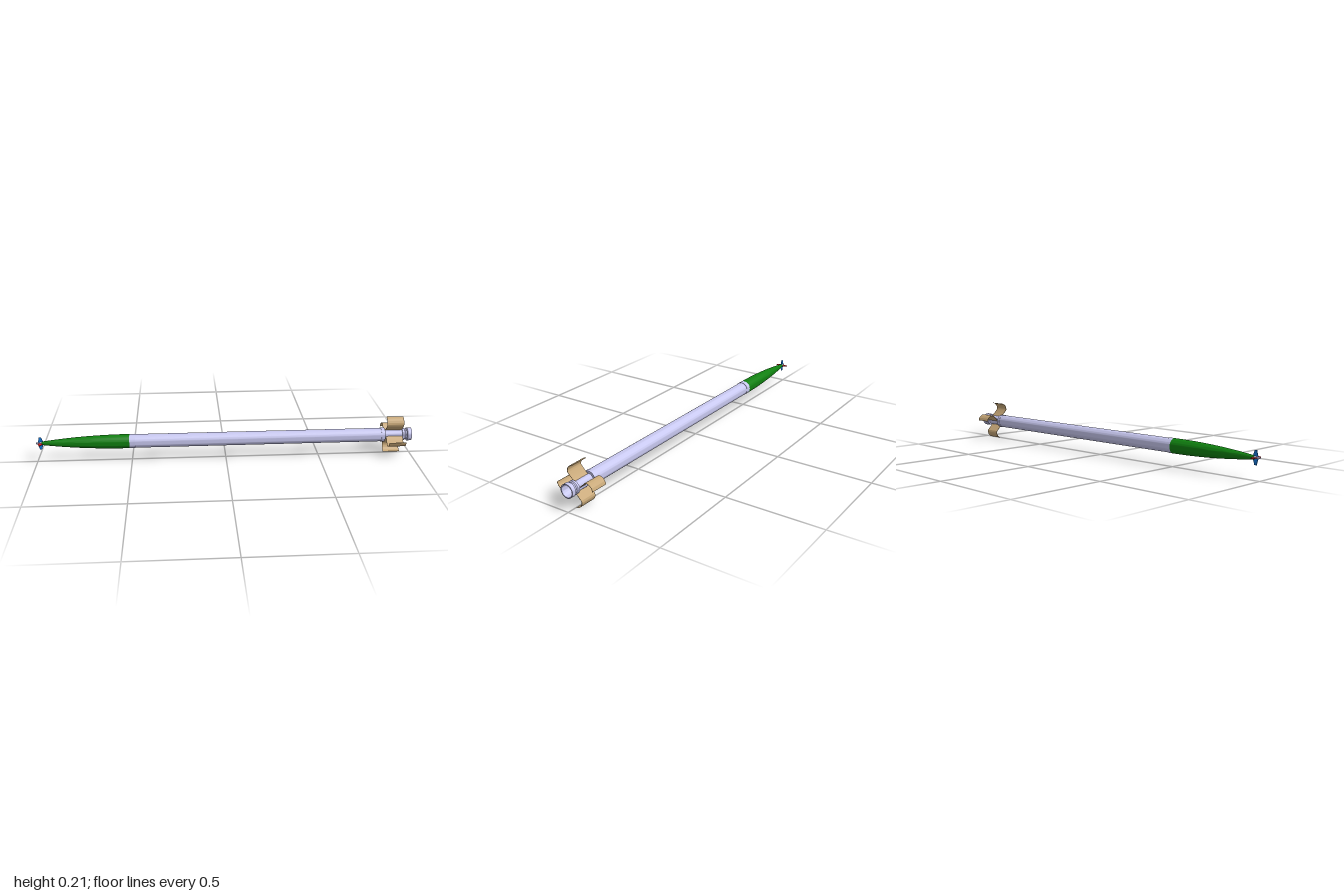
import * as THREE from 'three';
import { toCreasedNormals } from 'three/addons/utils/BufferGeometryUtils.js';

const mat = (color) => new THREE.MeshStandardMaterial({ color });
const LILAC = mat(0xc8c8f0), GREEN = mat(0x108010), TAN = mat(0xc8a878), BLUE = mat(0x1478dc), RED = mat(0xd02020);

// Solid of revolution about the x axis from [x, radius] pairs
function turned(name, profile, material) {
  const g = new THREE.LatheGeometry(profile.map(([x, r]) => new THREE.Vector2(r, x)), 48);
  g.rotateZ(-Math.PI / 2);
  const mesh = new THREE.Mesh(toCreasedNormals(g, 0.5), material);
  mesh.name = name;
  return mesh;
}

// Curved tail fin: straight root, rounded bend, then a quarter arc
function tailFinGeometry() {
  const path = new THREE.Path();
  path.moveTo(0, 0.025);
  path.lineTo(-0.034, 0.06);
  path.quadraticCurveTo(-0.037, 0.063, -0.037, 0.068);
  path.absarc(-0.001, 0.068, 0.036, Math.PI, Math.PI * 0.53, true);
  const pts = path.getPoints(14);
  const t = 0.0008;
  const side = (s) => pts.map((p, i) => {
    const a = pts[Math.max(i - 1, 0)], b = pts[Math.min(i + 1, pts.length - 1)];
    const d = b.clone().sub(a).normalize();
    return new THREE.Vector2(p.x - d.y * t * s, p.y + d.x * t * s);
  });
  const shape = new THREE.Shape([...side(1), ...side(-1).reverse()]);
  const g = new THREE.ExtrudeGeometry(shape, { depth: 0.09, bevelEnabled: false });
  g.rotateY(Math.PI / 2);
  return toCreasedNormals(g, 0.6);
}

// Small swept nose fin, root at the axis
function noseFinGeometry() {
  const shape = new THREE.Shape([[-0.991, 0], [-0.962, 0], [-0.964, 0.012], [-0.971, 0.034], [-0.982, 0.034]]
    .map(([x, y]) => new THREE.Vector2(x, y)));
  const g = new THREE.ExtrudeGeometry(shape, { depth: 0.003, bevelEnabled: false });
  return g.translate(0, 0, -0.0015);
}

export function createModel() {
  const root = new THREE.Group();
  root.name = 'rocket';
  const rocket = new THREE.Group();
  rocket.name = 'airframe';
  rocket.position.y = 0.105;
  root.add(rocket);

  // Tip and ogive nose
  rocket.add(turned('noseTip', [[-1, 0], [-1, 0.004], [-0.985, 0.006], [-0.965, 0.009]], LILAC));
  const ogive = [[-0.97, 0]];
  for (let i = 0; i <= 20; i++) {
    const u = i / 20;
    ogive.push([-0.97 + 0.46 * u, 0.009 + 0.0285 * (1 - (1 - u) ** 2.1)]);
  }
  ogive.push([-0.51, 0.034]);
  rocket.add(turned('noseCone', ogive, GREEN));

  // Collar and main tube
  rocket.add(turned('collar', [[-0.51, 0], [-0.51, 0.0375], [-0.48, 0.0375], [-0.48, 0.035]], LILAC));
  rocket.add(turned('bodyTube', [[-0.48, 0.036], [0.835, 0.036], [0.835, 0.0375], [0.855, 0.0375], [0.855, 0.026]], LILAC));

  // Narrow tail with a flared, hollow nozzle
  rocket.add(turned('tailNozzle', [
    [0.855, 0.026], [0.95, 0.026], [0.95, 0.033], [0.962, 0.033], [0.967, 0.029], [0.974, 0.029],
    [0.978, 0.035], [1, 0.035], [1, 0.03], [0.96, 0.027], [0.93, 0.02], [0.9, 0.02],
  ], LILAC));
  rocket.add(turned('motorFace', [[0.9, 0.021], [0.91, 0.02], [0.91, 0]], BLUE));

  // Four of each fin around the axis
  const tailGeo = tailFinGeometry(), noseGeo = noseFinGeometry();
  for (let i = 0; i < 4; i++) {
    const tail = new THREE.Mesh(tailGeo, TAN);
    tail.name = 'tailFin' + (i + 1);
    tail.position.x = 0.86;
    tail.rotation.x = i * Math.PI / 2;
    const nose = new THREE.Mesh(noseGeo, i % 2 ? RED : BLUE);
    nose.name = 'noseFin' + (i + 1);
    nose.rotation.x = i * Math.PI / 2;
    rocket.add(tail, nose);
  }
  return root;
}
